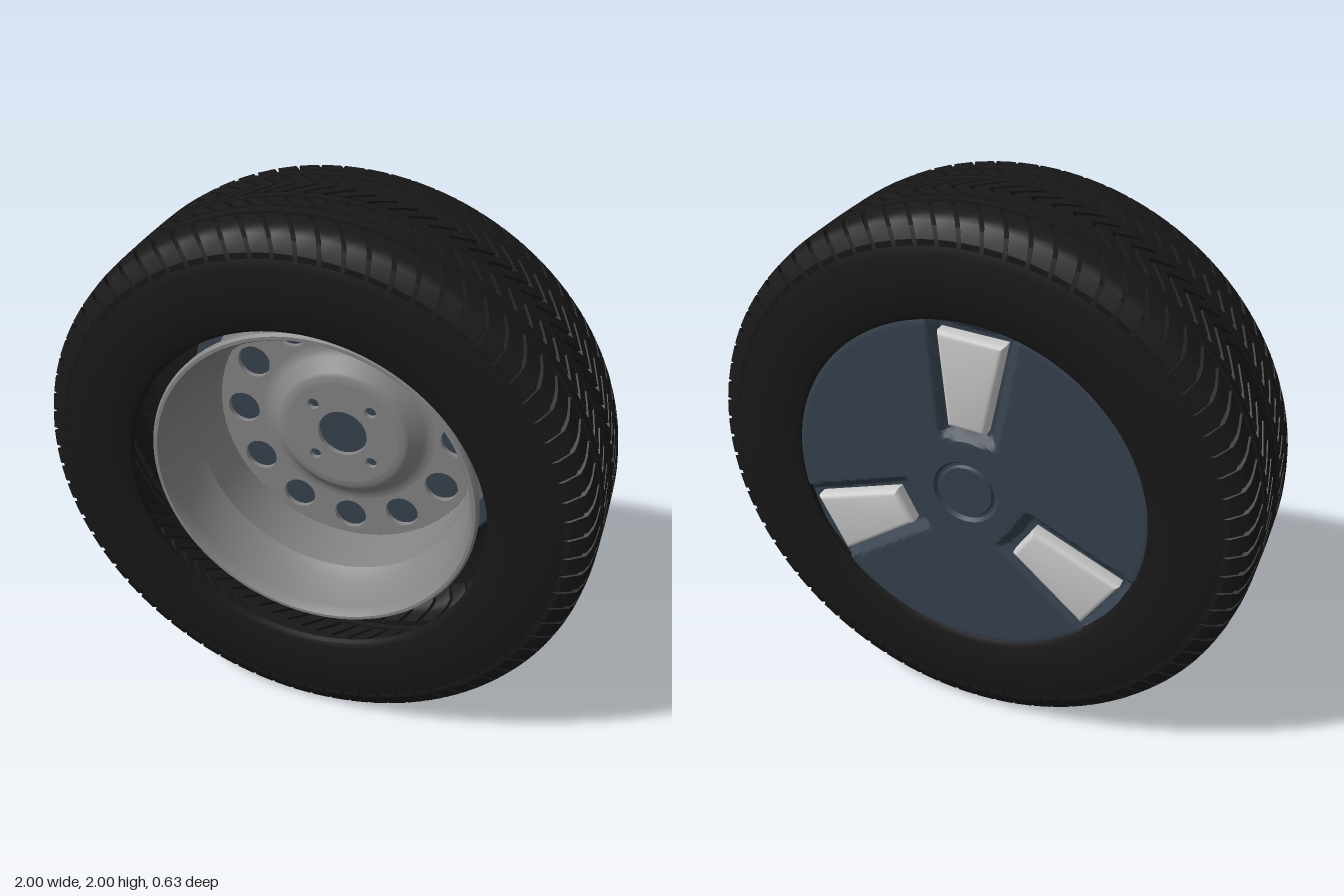
import * as THREE from 'three';
import { mergeGeometries, toCreasedNormals } from 'three/addons/utils/BufferGeometryUtils.js';

const { lerp, clamp } = THREE.MathUtils;
const TAU = Math.PI * 2;
const rad = THREE.MathUtils.degToRad;

const mat = (color, double = false) => new THREE.MeshStandardMaterial({
  color, side: double ? THREE.DoubleSide : THREE.FrontSide,
});

// Profile of [radius, z] points turned around the z axle
function turn(profile, segments = 96) {
  const pts = profile.map(([r, z]) => new THREE.Vector2(r, z));
  return new THREE.LatheGeometry(pts, segments).rotateX(Math.PI / 2);
}

function add(parent, name, geometry, material) {
  const mesh = new THREE.Mesh(geometry, material);
  mesh.name = name;
  parent.add(mesh);
  return mesh;
}

// Flat ring with round holes, front face at z = front
function drilledRing(outer, inner, holes, front, thickness) {
  const shape = new THREE.Shape().absarc(0, 0, outer, 0, TAU);
  const cut = (x, y, r) => shape.holes.push(new THREE.Path().absarc(x, y, r, 0, TAU, true));
  cut(0, 0, inner);
  for (let i = 0; i < holes.count; i++) {
    const a = rad(holes.start) + (i / holes.count) * TAU;
    cut(Math.cos(a) * holes.at, Math.sin(a) * holes.at, holes.radius);
  }
  return new THREE.ExtrudeGeometry(shape, { depth: thickness, bevelEnabled: false, curveSegments: 32 })
    .translate(0, 0, front - thickness);
}

// Outer tread radius across the width
const CROWN = [[0, 1], [0.17, 0.998], [0.25, 0.988], [0.29, 0.965], [0.312, 0.89]];
function crown(z) {
  const a = Math.abs(z);
  const i = Math.max(1, CROWN.findIndex(([w]) => w >= a));
  const [z0, r0] = CROWN[i - 1], [z1, r1] = CROWN[i];
  return lerp(r0, r1, (a - z0) / (z1 - z0));
}

// One ring of slanted blocks; slant is measured in block pitches
function treadRow({ z0, z1, count, slant, fill, parts = 2 }) {
  const blocks = [];
  for (let i = 0; i < count; i++) {
    const g = new THREE.BoxGeometry(1, 1, 1, 1, 1, parts);
    const p = g.attributes.position;
    for (let k = 0; k < p.count; k++) {
      const z = lerp(z0, z1, p.getZ(k) + 0.5);
      const r = crown(z) - (p.getY(k) > 0 ? 0 : 0.035);
      const a = Math.PI / 2 - ((i + p.getX(k) * fill + slant * p.getZ(k)) / count) * TAU;
      p.setXYZ(k, Math.cos(a) * r, Math.sin(a) * r, z);
    }
    g.computeVertexNormals();
    blocks.push(g);
  }
  return mergeGeometries(blocks);
}

// Spoke plates: three around the cover
const PLATE_ANGLES = [93, 213, 333].map(rad);
const plateHalfWidth = (u) => lerp(0.07, 0.118, (u - 0.25) / 0.36);

// 1 inside the pocket around a plate, falling to 0 over its sloped wall
function pocket(x, y) {
  let depth = 0;
  for (const a of PLATE_ANGLES) {
    const u = x * Math.cos(a) + y * Math.sin(a);
    const v = Math.abs(y * Math.cos(a) - x * Math.sin(a));
    const outside = Math.max(v - plateHalfWidth(u) - 0.01, 0.235 - u, u - 0.62);
    depth = Math.max(depth, clamp(1 - outside / 0.035, 0, 1));
  }
  return depth;
}

function createTyre() {
  const tyre = new THREE.Group();
  tyre.name = 'tyre';
  const rubber = mat(0x181818, true);

  // Hollow casing with open beads
  const half = [[0.645, 0.285], [0.65, 0.302], [0.665, 0.31], [0.76, 0.313], [0.87, 0.312],
    [0.92, 0.297], [0.955, 0.283], [0.97, 0.24], [0.978, 0.17], [0.98, 0.06]];
  const profile = [...half.map(([r, z]) => [r, -z]), ...half.reverse()];
  add(tyre, 'casing', toCreasedNormals(turn(profile, 128), 0.6), rubber);

  // Patterned tread rows
  const rows = [
    { z0: 0.19, z1: 0.304, count: 76, slant: 0.9, fill: 0.8, parts: 5 },
    { z0: 0.062, z1: 0.128, count: 90, slant: 0.8, fill: 0.72 },
    { z0: -0.05, z1: 0.018, count: 90, slant: -1.2, fill: 0.72 },
    { z0: -0.13, z1: -0.05, count: 90, slant: 1.2, fill: 0.72 },
    { z0: -0.304, z1: -0.185, count: 76, slant: 0.9, fill: 0.8, parts: 5 },
  ];
  add(tyre, 'treadBlocks', mergeGeometries(rows.map(treadRow)), rubber);

  // Continuous ribs between the rows
  for (const [z0, z1] of [[0.138, 0.178], [0.028, 0.052], [-0.174, -0.14]]) {
    const rib = [[0.965, z0], [crown(z0), z0], [crown(z1), z1], [0.965, z1]];
    add(tyre, 'treadRib', toCreasedNormals(turn(rib, 128), 0.6), rubber);
  }
  return tyre;
}

function createRim() {
  const rim = new THREE.Group();
  rim.name = 'rim';
  const steel = mat(0x858585, true);

  // Barrel with rolled lips at both ends
  const barrel = [[0.575, -0.235], [0.575, -0.215], [0.545, -0.205], [0.517, -0.19], [0.515, 0.02],
    [0.55, 0.07], [0.565, 0.19], [0.572, 0.215], [0.582, 0.232], [0.594, 0.232], [0.602, 0.222], [0.6, 0.2]];
  add(rim, 'barrel', toCreasedNormals(turn(barrel), 0.5), steel);

  // Disc with vent holes
  add(rim, 'ventDisc', drilledRing(0.517, 0.32, { count: 12, start: 2, at: 0.424, radius: 0.064 }, -0.19, 0.02), steel);

  // Raised hub with a centre bore and bolt holes
  const shoulder = [[0.34, -0.19], [0.32, -0.188], [0.3, -0.178], [0.255, -0.135], [0.24, -0.127], [0.215, -0.125]];
  add(rim, 'hubShoulder', turn(shoulder), steel);
  add(rim, 'hubPlate', drilledRing(0.217, 0.095, { count: 4, start: 47, at: 0.157, radius: 0.022 }, -0.125, 0.02), steel);
  return rim;
}

function createCover() {
  const cover = new THREE.Group();
  cover.name = 'wheelCover';

  // Closed disc with a central cap ring; its back is pressed in around each plate
  const profile = [[0, -0.296], [0.095, -0.296], [0.102, -0.286], [0.112, -0.286], [0.122, -0.3]];
  for (let r = 0.14; r < 0.645; r += 0.0125) profile.push([r, -0.3]);
  profile.push([0.652, -0.296], [0.657, -0.285], [0.657, -0.245], [0.65, -0.24], [0, -0.24]);
  const disc = turn(profile, 240);
  const p = disc.attributes.position;
  for (let i = 0; i < p.count; i++) {
    if (p.getZ(i) < -0.27) p.setZ(i, p.getZ(i) + 0.035 * pocket(p.getX(i), p.getY(i)));
  }
  add(cover, 'coverDisc', toCreasedNormals(disc, 0.5), mat(0x37424f));

  // Tapered, bevelled plates standing in the pockets
  const b = 0.02, u0 = 0.26, u1 = 0.605;
  const w0 = plateHalfWidth(u0) - b, w1 = plateHalfWidth(u1) - b;
  const shape = new THREE.Shape([[u0 + b, -w0], [u1 - b, -w1], [u1 - b, w1], [u0 + b, w0]]
    .map(([u, v]) => new THREE.Vector2(u, v)));
  const plate = toCreasedNormals(new THREE.ExtrudeGeometry(shape, {
    depth: 0.03, bevelThickness: b, bevelSize: b, bevelSegments: 3,
  }).translate(0, 0, -0.3), 0.6);
  for (const angle of PLATE_ANGLES) {
    add(cover, 'spokePlate', plate, mat(0xcccccc)).rotation.z = angle;
  }
  return cover;
}

export function createModel() {
  const wheel = new THREE.Group();
  wheel.name = 'wheel';
  wheel.add(createTyre(), createRim(), createCover());
  wheel.position.y = 1;
  const model = new THREE.Group();
  model.add(wheel);
  return model;
}
